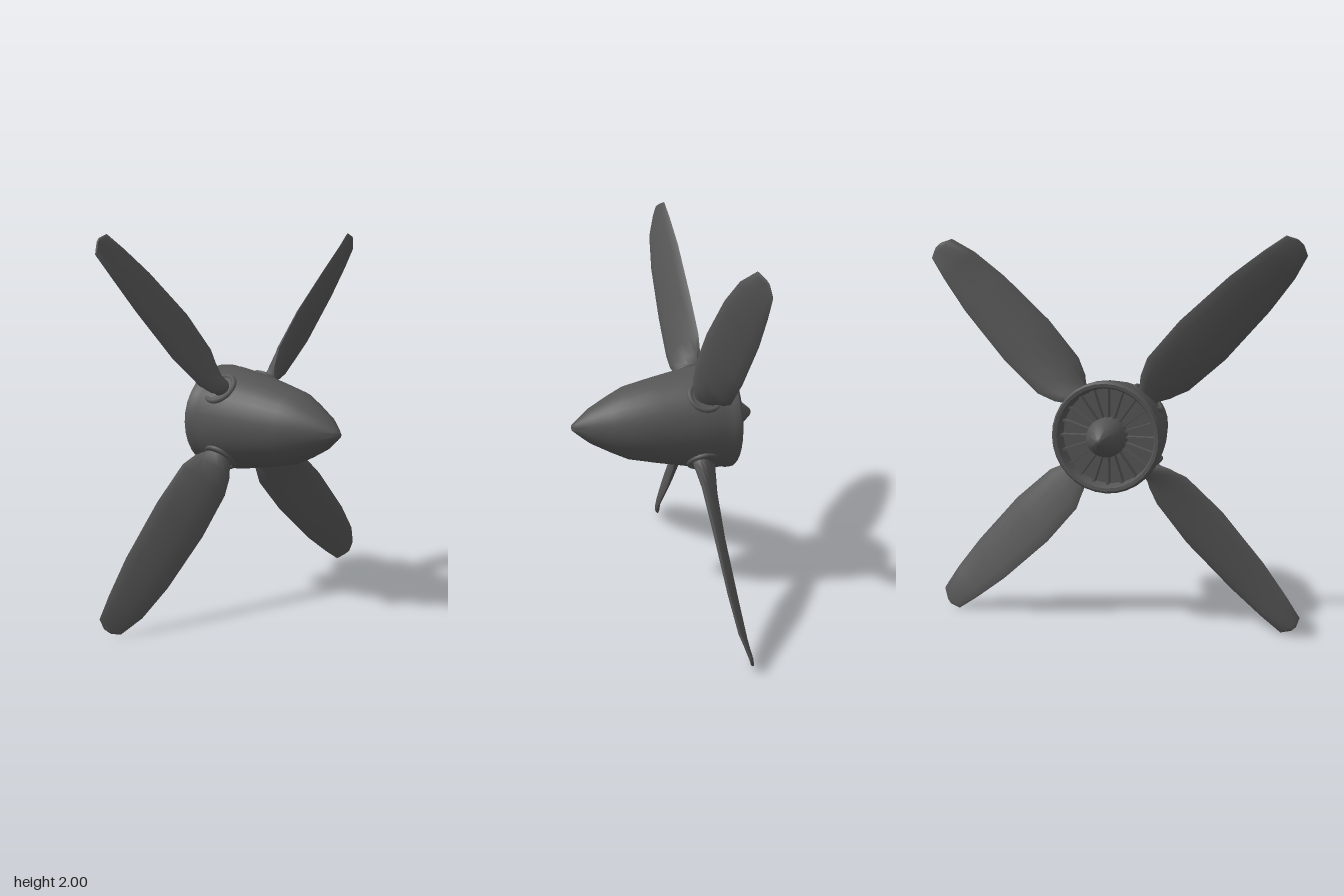
import * as THREE from 'three';
import { toCreasedNormals } from 'three/addons/utils/BufferGeometryUtils.js';

// Blade stations: radius, leading z, trailing z, leading x, trailing x, thickness
const STATIONS = [
  [0.20, 0.045, -0.045, -0.145, -0.235, 0.09],
  [0.27, 0.032, -0.056, -0.130, -0.250, 0.09],
  [0.33, 0.080, -0.100, -0.125, -0.255, 0.07],
  [0.42, 0.118, -0.138, -0.125, -0.255, 0.055],
  [0.67, 0.142, -0.149, -0.130, -0.250, 0.045],
  [1.00, 0.132, -0.122, -0.140, -0.250, 0.036],
  [1.20, 0.110, -0.088, -0.160, -0.245, 0.030],
  [1.325, 0.080, -0.060, -0.200, -0.240, 0.020],
  [1.35, 0.030, -0.010, -0.210, -0.230, 0.012],
];

// Lofted, twisted blade along +y with its leading edge towards +z
function bladeGeometry(sides = 14) {
  const pos = [], index = [];
  for (const [u, zL, zT, xL, xT, t] of STATIONS) {
    const cz = (zL + zT) / 2, cx = (xL + xT) / 2;
    const hz = (zL - zT) / 2, hx = (xL - xT) / 2, h = Math.hypot(hz, hx);
    for (let k = 0; k < sides; k++) {
      const a = (k / sides) * Math.PI * 2, c = Math.cos(a);
      const n = (t / 2) * Math.sin(a) * (1 + 0.25 * c) / h;
      pos.push(cx + hx * c + hz * n, u, cz + hz * c - hx * n);
    }
  }
  const rows = STATIONS.length, last = (rows - 1) * sides;
  for (let j = 0; j < rows - 1; j++) {
    for (let k = 0; k < sides; k++) {
      const a = j * sides + k, b = j * sides + (k + 1) % sides;
      index.push(a, b, a + sides, b, b + sides, a + sides);
    }
  }
  for (let k = 1; k < sides - 1; k++) index.push(last, last + k, last + k + 1);
  const g = new THREE.BufferGeometry();
  g.setAttribute('position', new THREE.Float32BufferAttribute(pos, 3));
  g.setIndex(index);
  return toCreasedNormals(g, 0.8);
}

// Turned part about the x axis from [radius, x] points
function turned(points, segments) {
  const g = new THREE.LatheGeometry(points.map(([r, x]) => new THREE.Vector2(r, x)), segments);
  return toCreasedNormals(g.rotateZ(-Math.PI / 2), 0.7);
}

export function createModel() {
  const metal = new THREE.MeshStandardMaterial({ color: 0x555555 });
  metal.name = 'darkGreyMetal';

  const model = new THREE.Group();
  model.name = 'propeller';
  const rotor = new THREE.Group();
  rotor.name = 'rotor';
  rotor.position.y = 1.002;
  model.add(rotor);

  const add = (parent, name, geometry) => {
    const mesh = new THREE.Mesh(geometry, metal);
    mesh.name = name;
    parent.add(mesh);
    return mesh;
  };

  // Spinner with a recessed, open back and a rolled rim
  add(rotor, 'spinner', turned([
    [0, -0.29], [0.245, -0.29], [0.25, -0.35], [0.258, -0.365], [0.275, -0.367],
    [0.286, -0.355], [0.287, -0.32], [0.281, -0.305], [0.283, -0.27], [0.262, -0.12],
    [0.23, 0.04], [0.194, 0.2], [0.15, 0.29], [0.092, 0.395], [0.035, 0.465],
    [0.015, 0.487], [0, 0.492],
  ], 32));

  // Pointed shaft end at the back
  add(rotor, 'rearCone', turned([
    [0, -0.5], [0.018, -0.493], [0.065, -0.44], [0.09, -0.4], [0.1, -0.36], [0.1, -0.28],
  ], 20));

  // Radial fins inside the recess
  const finShape = new THREE.BoxGeometry(0.045, 0.16, 0.012).translate(-0.308, 0.17, 0);
  for (let i = 0; i < 20; i++) {
    add(rotor, 'backFin', finShape).rotation.x = (i / 20) * Math.PI * 2;
  }

  // Four blades, each with a collar and a socket plate at its root
  const blade = bladeGeometry();
  const collar = new THREE.TorusGeometry(0.085, 0.014, 8, 24)
    .rotateX(Math.PI / 2).translate(-0.19, 0.258, 0);
  const socket = new THREE.CylinderGeometry(0.085, 0.085, 0.03, 24).translate(-0.19, 0.25, 0);
  for (let i = 0; i < 4; i++) {
    const arm = new THREE.Group();
    arm.name = 'bladeAssembly';
    arm.rotation.x = Math.PI / 4 + i * Math.PI / 2 - (i % 2 ? 0 : 0.025);
    add(arm, 'blade', blade);
    add(arm, 'bladeCollar', collar);
    add(arm, 'bladeSocket', socket);
    rotor.add(arm);
  }
  return model;
}
